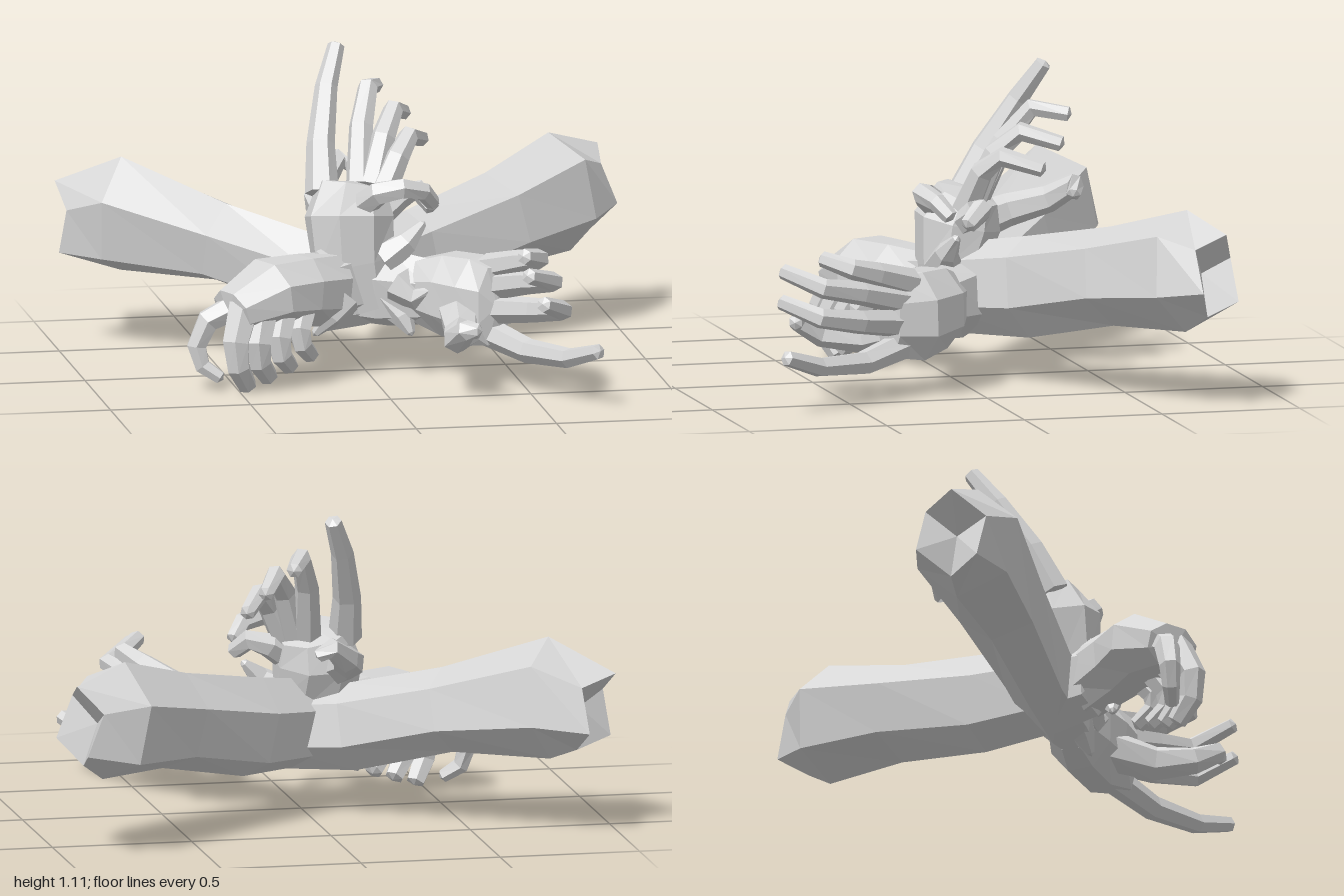
import * as THREE from 'three';

const grey = new THREE.MeshStandardMaterial({ color: 0xd6d6d6, flatShading: true });
grey.name = 'grey';

// Loft elliptical rings [x, y, z, halfWidth, halfHeight]; each end closes on a point pushed along the path.
// jag pushes every other corner of the first ring outwards.
function loft(name, sections, up, sides, startPush, endPush, phase = 0, jag = 0) {
  const c = sections.map(s => new THREE.Vector3(s[0], s[1], s[2]));
  const n = c.length;
  const pos = [], idx = [];
  const tangent = i => c[Math.min(i + 1, n - 1)].clone().sub(c[Math.max(i - 1, 0)]).normalize();
  sections.forEach(([, , , w, h], i) => {
    const t = tangent(i);
    const side = t.clone().cross(up).normalize();
    const u = side.clone().cross(t);
    for (let j = 0; j < sides; j++) {
      const a = (j / sides) * Math.PI * 2 + phase;
      const p = c[i].clone().addScaledVector(side, w * Math.cos(a)).addScaledVector(u, h * Math.sin(a));
      if (i === 0) p.addScaledVector(t, -jag * (j % 2));
      pos.push(p.x, p.y, p.z);
    }
  });
  const first = c[0].clone().addScaledVector(tangent(0), -startPush);
  const last = c[n - 1].clone().addScaledVector(tangent(n - 1), endPush);
  pos.push(...first.toArray(), ...last.toArray());
  for (let j = 0; j < sides; j++) {
    const k = (j + 1) % sides, e = (n - 1) * sides;
    for (let i = 0; i < n - 1; i++) {
      const a = i * sides + j, b = i * sides + k;
      idx.push(a, a + sides, b, b, a + sides, b + sides);
    }
    idx.push(n * sides, j, k, n * sides + 1, e + k, e + j);
  }
  const g = new THREE.BufferGeometry();
  g.setAttribute('position', new THREE.Float32BufferAttribute(pos, 3));
  g.setIndex(idx);
  g.computeVertexNormals();
  const mesh = new THREE.Mesh(g, grey);
  mesh.name = name;
  return mesh;
}

// Tapered finger whose cross-section stays aligned with the plane it curls in
function finger(name, points, r0 = 0.052, r1 = 0.028) {
  const v = points.map(p => new THREE.Vector3(...p));
  const normal = new THREE.Vector3();
  for (let i = 2; i < v.length; i++) {
    normal.add(v[i - 1].clone().sub(v[i - 2]).cross(v[i].clone().sub(v[i - 1])));
  }
  normal.normalize();
  const sections = points.map((p, i) => {
    const r = THREE.MathUtils.lerp(r0, r1, i / (points.length - 1));
    return [...p, r, r];
  });
  return loft(name, sections, normal, 6, 0.01, 0.012, Math.PI / 6);
}

function hand(name, palm, up, fingers) {
  const g = new THREE.Group();
  g.name = name;
  g.add(loft('palm', palm, up, 8, 0.01, 0.02, Math.PI / 8));
  for (const [part, points, r0, r1] of fingers) g.add(finger(part, points, r0, r1));
  return g;
}

export function createModel() {
  const model = new THREE.Group();
  model.name = 'crossedArms';
  const Y = new THREE.Vector3(0, 1, 0), Z = new THREE.Vector3(0, 0, 1);

  // Forearms with ragged, hollowed elbow ends
  model.add(loft('forearmFromRight', [
    [-0.89, 0.46, -0.64, 0.13, 0.15], [-0.77, 0.49, -0.56, 0.195, 0.215],
    [-0.45, 0.42, -0.35, 0.16, 0.15], [-0.15, 0.33, -0.14, 0.125, 0.155],
    [0.08, 0.31, 0.0, 0.13, 0.145], [0.23, 0.31, 0.11, 0.085, 0.12],
  ], Y, 6, -0.03, 0.02, 0.35, 0.07));
  model.add(loft('forearmFromLeft', [
    [0.92, 0.49, -0.7, 0.1, 0.15], [0.81, 0.49, -0.64, 0.185, 0.215],
    [0.55, 0.44, -0.44, 0.165, 0.175], [0.22, 0.36, -0.22, 0.125, 0.18],
    [-0.02, 0.33, -0.03, 0.115, 0.16], [-0.17, 0.32, 0.07, 0.1, 0.145],
  ], Y, 6, -0.05, 0.02, 0.35, 0.06));

  // Hand reaching forward, palm turned inward
  model.add(hand('forwardHand', [
    [0.18, 0.31, 0.07, 0.09, 0.12], [0.27, 0.31, 0.13, 0.125, 0.155],
    [0.36, 0.3, 0.23, 0.125, 0.17], [0.4, 0.3, 0.33, 0.07, 0.15],
  ], Y, [
    ['indexFinger', [[0.39, 0.42, 0.25], [0.48, 0.47, 0.4], [0.53, 0.5, 0.5], [0.46, 0.53, 0.59]]],
    ['middleFinger', [[0.4, 0.36, 0.27], [0.5, 0.41, 0.46], [0.56, 0.44, 0.61], [0.45, 0.49, 0.73]]],
    ['ringFinger', [[0.4, 0.28, 0.29], [0.52, 0.31, 0.47], [0.59, 0.34, 0.63], [0.5, 0.39, 0.75]]],
    ['littleFinger', [[0.38, 0.2, 0.27], [0.5, 0.16, 0.45], [0.61, 0.17, 0.64], [0.69, 0.22, 0.78]]],
    ['thumb', [[0.29, 0.26, 0.24], [0.27, 0.22, 0.4], [0.23, 0.23, 0.53], [0.25, 0.28, 0.62], [0.29, 0.28, 0.64]], 0.075, 0.026],
  ]));

  // Hand drooping to the side
  model.add(hand('droopingHand', [
    [-0.12, 0.32, 0.05, 0.1, 0.14], [-0.25, 0.34, 0.13, 0.13, 0.13],
    [-0.38, 0.35, 0.19, 0.16, 0.12], [-0.52, 0.3, 0.25, 0.11, 0.08],
  ], Y, [
    ['indexFinger', [[-0.48, 0.32, 0.27], [-0.52, 0.2, 0.32], [-0.51, 0.11, 0.32], [-0.47, 0.035, 0.28]], 0.06, 0.034],
    ['middleFinger', [[-0.41, 0.31, 0.25], [-0.44, 0.19, 0.31], [-0.43, 0.12, 0.3], [-0.39, 0.06, 0.26]], 0.06, 0.034],
    ['ringFinger', [[-0.33, 0.3, 0.22], [-0.36, 0.2, 0.28], [-0.35, 0.14, 0.28], [-0.31, 0.09, 0.23]], 0.055, 0.032],
    ['littleFinger', [[-0.25, 0.3, 0.19], [-0.28, 0.22, 0.25], [-0.27, 0.17, 0.25], [-0.23, 0.12, 0.2]], 0.05, 0.03],
    ['thumb', [[-0.5, 0.31, 0.22], [-0.6, 0.26, 0.21], [-0.64, 0.17, 0.21], [-0.62, 0.1, 0.22], [-0.56, 0.06, 0.24]], 0.052, 0.024],
  ]));

  // Raised hand above the crossing
  model.add(hand('raisedHand', [
    [0.0, 0.24, 0.0, 0.1, 0.1], [-0.04, 0.4, -0.01, 0.15, 0.12],
    [-0.05, 0.56, -0.04, 0.16, 0.155], [-0.03, 0.66, -0.07, 0.13, 0.11],
  ], Z, [
    ['tallFinger', [[-0.14, 0.64, -0.08], [-0.13, 0.8, -0.16], [-0.09, 0.98, -0.27], [-0.04, 1.11, -0.35]], 0.06, 0.03],
    ['secondFinger', [[0.0, 0.66, -0.1], [0.02, 0.85, -0.19], [0.06, 0.97, -0.28], [0.11, 0.95, -0.4]]],
    ['thirdFinger', [[0.04, 0.66, -0.08], [0.09, 0.82, -0.14], [0.14, 0.9, -0.22], [0.2, 0.86, -0.35]]],
    ['fourthFinger', [[0.06, 0.62, -0.04], [0.13, 0.76, -0.08], [0.18, 0.82, -0.14], [0.25, 0.78, -0.27]]],
    ['curledFrontFinger', [[-0.02, 0.61, 0.03], [0.03, 0.67, 0.1], [0.11, 0.69, 0.13], [0.19, 0.67, 0.1], [0.23, 0.62, 0.06]], 0.05, 0.028],
    ['foldedFinger', [[0.04, 0.56, -0.02], [0.13, 0.62, -0.06], [0.2, 0.64, -0.06], [0.24, 0.59, 0.0]], 0.055, 0.03],
    ['thumb', [[-0.1, 0.53, -0.08], [-0.12, 0.58, -0.24], [-0.08, 0.62, -0.38], [-0.01, 0.68, -0.46], [0.03, 0.65, -0.44]], 0.07, 0.026],
  ]));

  // Torn cuff scraps around the wrists
  const scraps = [
    [[0.06, 0.42, 0.04], [0.14, 0.48, 0.05], [0.2, 0.54, 0.03]],
    [[0.1, 0.34, 0.1], [0.16, 0.3, 0.15], [0.2, 0.34, 0.2]],
    [[-0.1, 0.3, 0.1], [-0.15, 0.24, 0.13], [-0.2, 0.18, 0.12]],
    [[0.08, 0.28, 0.05], [0.12, 0.22, 0.1], [0.14, 0.17, 0.13]],
  ];
  scraps.forEach((p, i) => model.add(finger('cuffScrap' + (i + 1), p, 0.07, 0.015)));
  return model;
}
